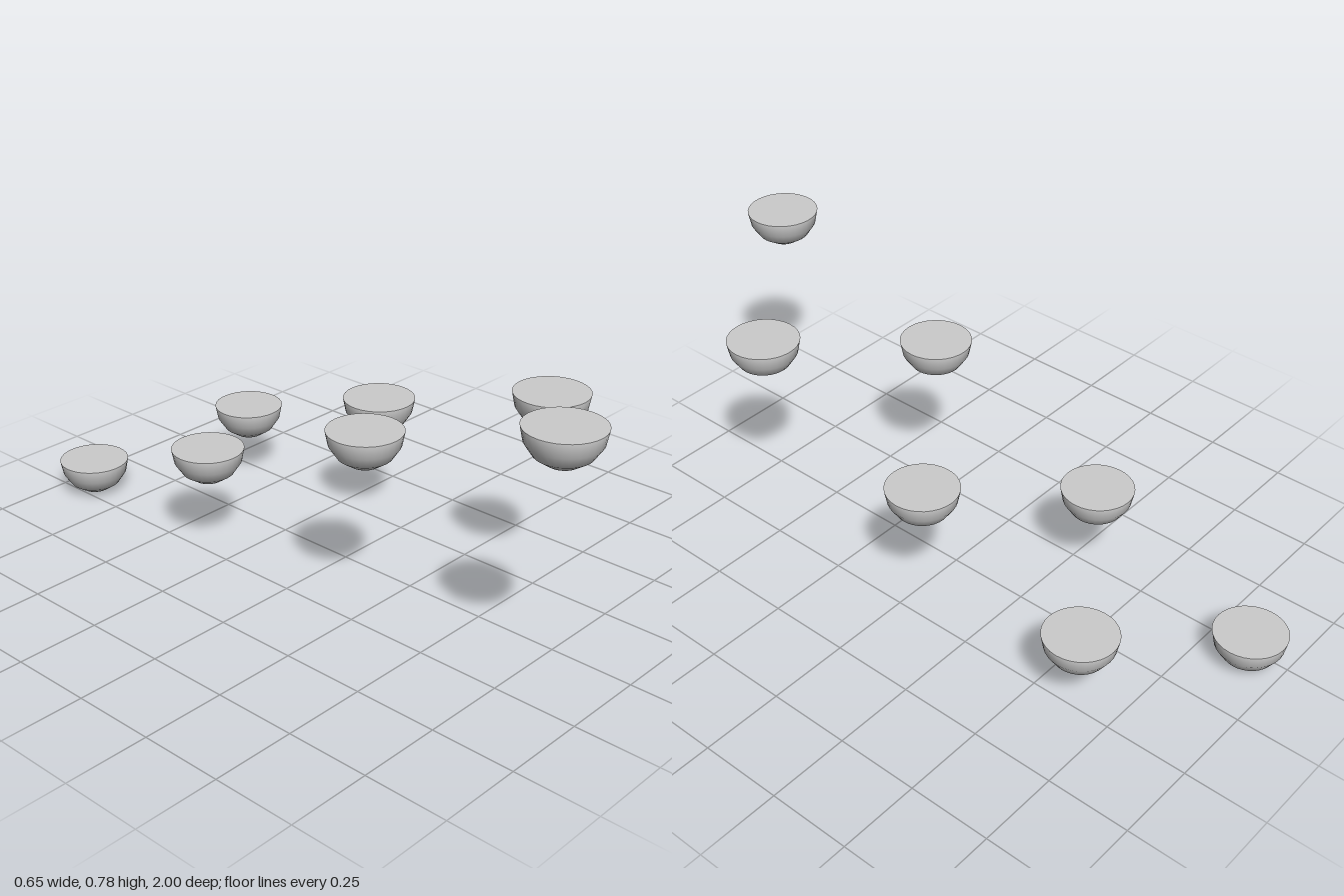
import * as THREE from 'three';

const RADIUS = 0.107;

// Rim centre of each step: x, y, z, from the highest at the front to the lowest at the back
const STEPS = [
  [-0.214, 0.778, 0.893],
  [0.190, 0.640, 0.571],
  [-0.214, 0.570, 0.265],
  [0.208, 0.432, -0.057],
  [-0.220, 0.325, -0.344],
  [0.217, 0.237, -0.623],
  [-0.210, 0.107, -0.893],
];

export function createModel() {
  const model = new THREE.Group();
  model.name = 'floatingSteps';
  const material = new THREE.MeshStandardMaterial({ color: 0xcccccc });

  // Rounded underside: lower half of a sphere, four rings deep
  const bowl = new THREE.SphereGeometry(RADIUS, 32, 4, 0, Math.PI * 2, Math.PI / 2, Math.PI / 2);
  // Flat disc to stand on
  const disc = new THREE.CircleGeometry(RADIUS, 32).rotateX(-Math.PI / 2);

  STEPS.forEach((position, i) => {
    const step = new THREE.Group();
    step.name = `step${i + 1}`;
    const underside = new THREE.Mesh(bowl, material);
    underside.name = 'roundedUnderside';
    const top = new THREE.Mesh(disc, material);
    top.name = 'flatTop';
    step.add(underside, top);
    step.position.set(...position);
    model.add(step);
  });

  return model;
}
